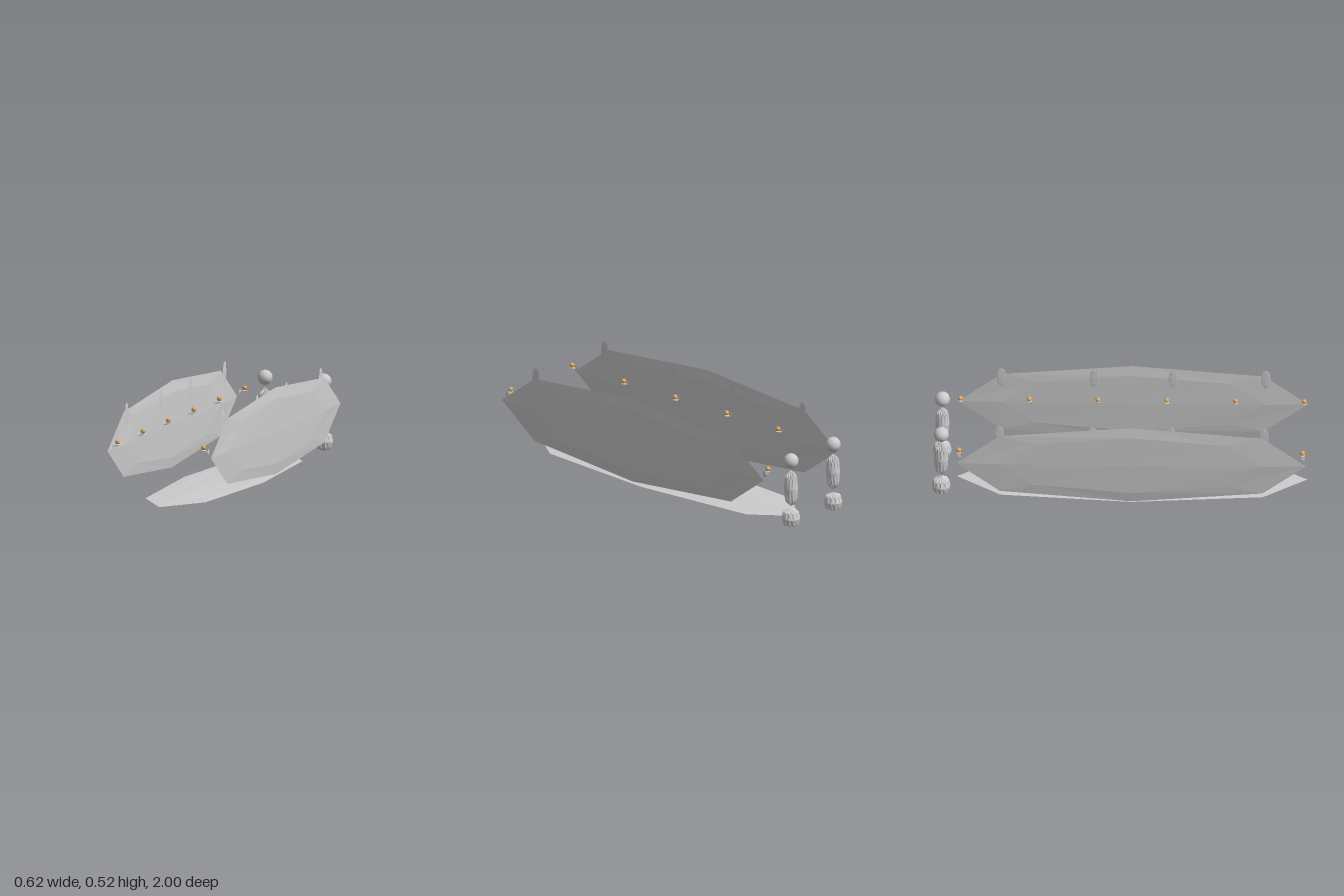
import * as THREE from 'three';

const grey = new THREE.MeshStandardMaterial({ color: 0xcccccc, flatShading: true });
const smoothGrey = new THREE.MeshStandardMaterial({ color: 0xcccccc });
const amber = new THREE.MeshStandardMaterial({ color: 0xe5a95c });

// Box softened once: face centres stay, edges and corners are drawn inwards
function softBox(hx, hy, hz) {
  const g = new THREE.BoxGeometry(2, 2, 2, 2, 2, 2);
  const p = g.attributes.position;
  const pull = [1, 1, 0.75, 5 / 9];
  for (let i = 0; i < p.count; i++) {
    const v = [p.getX(i), p.getY(i), p.getZ(i)];
    const k = pull[v.filter(c => Math.abs(c) > 0.5).length];
    p.setXYZ(i, v[0] * k * hx, v[1] * k * hy, v[2] * k * hz);
  }
  g.computeVertexNormals();
  return g;
}

// Cylinder softened the same way: pointed caps and a scalloped rim
function softCylinder(r, h, sides) {
  const rings = [[0, -1], [0.75, -0.75], [1, 0], [0.75, 0.75], [0, 1]];
  const g = new THREE.LatheGeometry(rings.map(([x, y]) => new THREE.Vector2(x, y)), sides * 2);
  const p = g.attributes.position;
  const inset = Math.cos(Math.PI / sides);
  for (let i = 0; i < p.count; i++) {
    const corner = Math.floor(i / rings.length) % 2 === 0;
    const rim = Math.abs(Math.abs(p.getY(i)) - 0.75) < 0.01;
    const kr = r * (corner ? (rim ? 8 / 9 / 0.75 : 1) : inset);
    const ky = h * (corner && rim ? 5 / 9 / 0.75 : 1);
    p.setXYZ(i, p.getX(i) * kr, p.getY(i) * ky, p.getZ(i) * kr);
  }
  g.computeVertexNormals();
  return g;
}

function add(parent, name, geometry, material, x, y, z) {
  const mesh = new THREE.Mesh(geometry, material);
  mesh.name = name;
  mesh.position.set(x, y, z);
  parent.add(mesh);
  return mesh;
}

export function createModel() {
  const model = new THREE.Group();
  model.name = 'corridor';
  const midZ = 0.066;

  // Floor and the narrow runner lying on it
  add(model, 'floor', softBox(0.23, 0.006, 0.934), grey, 0, 0.006, midZ);
  add(model, 'runner', softBox(0.085, 0.003, 0.93), grey, 0, 0.0115, midZ);

  const wall = softBox(0.0115, 0.235, 0.934);
  const banner = softBox(0.002, 0.06, 0.025);
  const plate = softBox(0.0022, 0.017, 0.012);
  const arm = softCylinder(0.0035, 0.014, 8).rotateZ(Math.PI / 2);
  const cup = softCylinder(0.0125, 0.0045, 12);
  const flame = new THREE.SphereGeometry(0.013, 20, 14);
  const pedestal = softCylinder(0.05, 0.0515, 12);
  const shaft = softCylinder(0.038, 0.103, 12);
  const orb = new THREE.SphereGeometry(0.0405, 32, 20);

  for (const [side, s] of [['left', 1], ['right', -1]]) {
    add(model, `${side}Wall`, wall, grey, s * 0.297, 0.29, midZ);

    // Banners hung on the inner face
    for (const z of [0.775, 0.28, -0.14, -0.637])
      add(model, `${side}Banner`, banner, grey, s * 0.276, 0.46, z);

    // Row of wall lamps
    for (let i = 0; i < 6; i++) {
      const lamp = new THREE.Group();
      lamp.name = `${side}Lamp`;
      lamp.position.z = 0.98 - i * 0.367;
      add(lamp, 'backPlate', plate, grey, s * 0.275, 0.318, 0);
      add(lamp, 'arm', arm, grey, s * 0.263, 0.317, 0);
      add(lamp, 'cup', cup, grey, s * 0.248, 0.325, 0);
      add(lamp, 'flame', flame, amber, s * 0.247, 0.341, 0);
      model.add(lamp);
    }

    // Pillar at the far end
    const pillar = new THREE.Group();
    pillar.name = `${side}Pillar`;
    pillar.position.set(s * 0.169, 0, -0.95);
    add(pillar, 'pedestal', pedestal, grey, 0, 0.0635, 0);
    add(pillar, 'shaft', shaft, grey, 0, 0.2325, 0);
    add(pillar, 'orb', orb, smoothGrey, 0, 0.388, 0);
    model.add(pillar);
  }
  return model;
}
